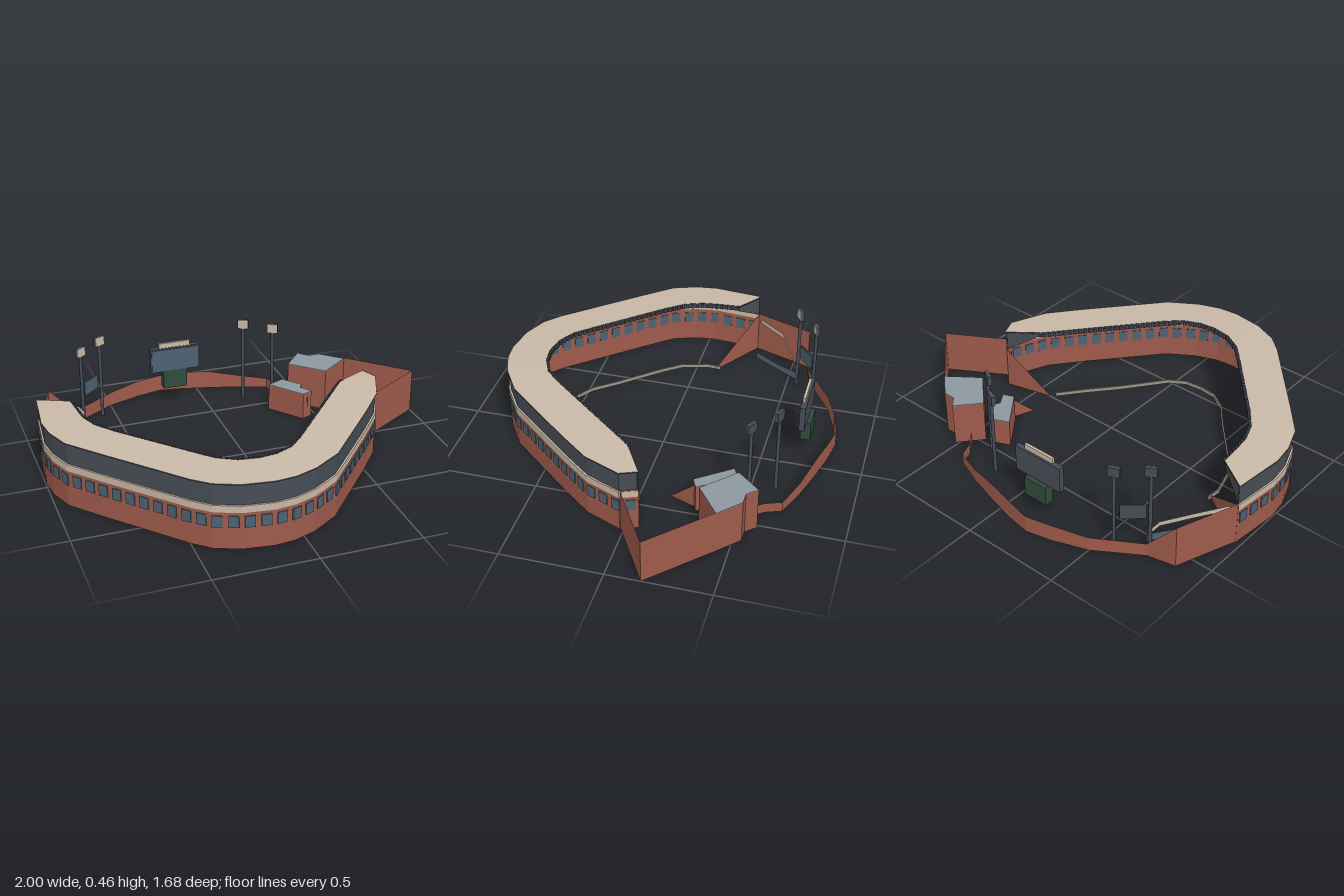
import * as THREE from 'three';
import { mergeGeometries } from 'three/addons/utils/BufferGeometryUtils.js';

const mat = (name, color) => {
  const m = new THREE.MeshStandardMaterial({ color, side: THREE.DoubleSide });
  m.name = name;
  return m;
};

export function createModel() {
  const model = new THREE.Group();
  model.name = 'ballpark';
  const brick = mat('brick', 0x9e5a4b), cream = mat('cream', 0xc8b8a6);
  const slate = mat('slate', 0x474c55), glass = mat('glass blue', 0x4d6273);
  const metal = mat('metal roof', 0x8c979f), green = mat('green', 0x2f4a3c);
  const shade = mat('underside', 0x2a2b2f), railing = mat('fence grey', 0x9b9589);

  const add = (name, geo, material, parent = model) => {
    const m = new THREE.Mesh(geo, material);
    m.name = name;
    parent.add(m);
    return m;
  };
  // faceted surface between two lines of [x, y, z] points
  const loft = (a, b) => {
    const pos = [];
    for (let i = 0; i < a.length - 1; i++)
      pos.push(...a[i], ...a[i + 1], ...b[i + 1], ...a[i], ...b[i + 1], ...b[i]);
    const g = new THREE.BufferGeometry();
    g.setAttribute('position', new THREE.Float32BufferAttribute(pos, 3));
    g.computeVertexNormals();
    return g;
  };
  const at = (line, y) => line.map(([x, z, h]) => [x, y ?? h, z]);
  // upright wall; with no top given, each point carries its own height
  const wall = (line, y0, y1) => loft(at(line, y0), at(line, y1));
  const box = (name, w, h, d, x, y, z, material, parent) => {
    const m = add(name, new THREE.BoxGeometry(w, h, d), material, parent);
    m.position.set(x, y, z);
    return m;
  };
  // visits evenly spaced places along a line
  const walk = (line, step, visit) => {
    const curve = new THREE.CurvePath();
    for (let i = 0; i < line.length - 1; i++)
      curve.add(new THREE.LineCurve(new THREE.Vector2(...line[i]), new THREE.Vector2(...line[i + 1])));
    const n = Math.round(curve.getLength() / step);
    for (let i = 0; i < n; i++) {
      const p = curve.getPointAt((i + 0.5) / n), t = curve.getTangentAt((i + 0.5) / n);
      visit(p.x, p.y, Math.atan2(-t.y, t.x));
    }
  };

  // grandstand outline: outer x, z and roof inner edge x, z
  const plan = [
    [-0.975, -0.285, -0.825, -0.195], [-1, -0.03, -0.815, -0.08], [-0.985, 0.08, -0.805, 0],
    [-0.94, 0.2, -0.77, 0.09], [-0.82, 0.34, -0.7, 0.18], [-0.5, 0.7, -0.42, 0.49],
    [-0.42, 0.77, -0.34, 0.575], [-0.3, 0.82, -0.25, 0.625], [-0.15, 0.84, -0.15, 0.64],
    [-0.05, 0.83, -0.07, 0.63], [0.06, 0.79, 0.02, 0.59], [0.2, 0.7, 0.09, 0.52],
    [0.5, 0.35, 0.35, 0.21], [0.62, 0.2, 0.45, 0.09], [0.695, 0.02, 0.5, 0.03],
    [0.66, -0.065, 0.52, 0.02],
  ];
  const ring = (t) => plan.map(([x, z, u, v]) => [x + (u - x) * t, z + (v - z) * t]);

  // outer walls, cream belt and dark upper level
  add('outerWall', wall(ring(0.015), 0, 0.19), brick);
  add('belt', wall(ring(0.005), 0.187, 0.222), cream);
  add('beltLedge', loft(at(ring(0.005), 0.222), at(ring(0.06), 0.222)), cream);
  add('upperLevel', wall(ring(0.05), 0.22, 0.328), slate);

  // roof, its dark underside and toothed inner edge
  add('roof', loft(at(ring(0), 0.331), at(ring(1), 0.342)), cream);
  add('roofUnderside', loft(at(ring(0), 0.326), at(ring(1), 0.335)), shade);
  add('roofOuterEdge', wall(ring(0), 0.326, 0.332), slate);
  add('roofInnerEdge', wall(ring(1), 0.318, 0.345), slate);
  const teeth = [];
  walk(ring(1.03), 0.026, (x, z, a) =>
    teeth.push(new THREE.BoxGeometry(0.013, 0.02, 0.014).rotateY(a).translate(x, 0.333, z)));
  add('roofBrackets', mergeGeometries(teeth), slate);

  // windows
  const panes = [];
  walk(ring(0.01).slice(0, 16), 0.073, (x, z, a) =>
    panes.push(new THREE.BoxGeometry(0.047, 0.058, 0.008).rotateY(a).translate(x, 0.141, z)));
  add('windows', mergeGeometries(panes), glass);

  // sloping end walls of the stand
  add('leftEndWall', wall([[-0.97, -0.28, 0.22], [-0.69, -0.1, 0.005]], 0), brick);
  add('rightEndWall', wall([[0.66, -0.06, 0.22], [0.42, 0, 0.005]], 0), brick);
  add('leftEndScreen', loft([[-0.97, 0.22, -0.28], [-0.83, 0.31, -0.195]],
    [[-0.97, 0.33, -0.28], [-0.83, 0.338, -0.195]]), slate);
  add('rightEndScreen', loft([[0.66, 0.22, -0.06], [0.52, 0.31, 0.02]],
    [[0.66, 0.33, -0.06], [0.52, 0.338, 0.02]]), slate);

  // low fence around the infield
  const fence = [
    [-0.705, -0.13], [-0.71, -0.06], [-0.67, 0.08], [-0.6, 0.17], [-0.42, 0.37], [-0.33, 0.48],
    [-0.24, 0.54], [-0.15, 0.55], [-0.06, 0.54], [0.02, 0.49], [0.18, 0.28], [0.3, 0.14], [0.395, 0.02],
  ];
  const rails = fence.slice(1).map(([x, z], i) => {
    const [px, pz] = fence[i];
    return new THREE.BoxGeometry(Math.hypot(x - px, z - pz) + 0.003, 0.02, 0.007)
      .rotateY(Math.atan2(pz - z, x - px)).translate((x + px) / 2, 0.012, (z + pz) / 2);
  });
  add('infieldFence', mergeGeometries(rails), railing);

  // left corner and outfield wall
  add('leftCornerWall', wall([[-0.97, -0.28, 0.225], [-0.86, -0.58, 0.225], [-0.72, -0.61, 0.07]], 0), brick);
  add('outfieldWall', wall([
    [-0.72, -0.61, 0.07], [-0.5, -0.75, 0.075], [-0.33, -0.81, 0.09], [-0.2, -0.84, 0.09],
    [-0.08, -0.82, 0.1], [0.06, -0.785, 0.1], [0.23, -0.735, 0.07], [0.37, -0.68, 0.055],
    [0.4, -0.6, 0.055], [0.46, -0.53, 0.055],
  ], 0), brick);
  const leftBand = [[-0.94, -0.3, 0.21], [-0.84, -0.44, 0.2], [-0.72, -0.52, 0.14], [-0.68, -0.55, 0.08]];
  add('leftFieldBand', loft(leftBand.map(([x, z, h]) => [x, h - 0.025, z]), at(leftBand)), cream);
  add('leftFieldPanel', wall([[-0.84, -0.3, 0.06], [-0.75, -0.44, 0.06], [-0.68, -0.56, 0.07]], 0.025), glass);

  // right annex: open tall wall and two flat-topped blocks
  add('annexWall', wall([[0.66, -0.06], [0.69, 0.015], [1, -0.17], [0.725, -0.44]], 0, 0.23), brick);
  const block = (name, h, pts) => {
    const shape = new THREE.Shape(pts.map(([x, z]) => new THREE.Vector2(x, -z)));
    const slab = (depth, y) => new THREE.ExtrudeGeometry(shape, { depth, bevelEnabled: false })
      .rotateX(-Math.PI / 2).translate(0, y, 0);
    add(name, slab(h, 0), brick);
    add(name + 'Roof', slab(0.004, h), metal);
  };
  block('cornerBlock', 0.222, [[0.415, -0.475], [0.515, -0.59], [0.56, -0.54], [0.62, -0.54],
    [0.725, -0.44], [0.57, -0.325]]);
  block('steppedBlock', 0.14, [[0.29, -0.43], [0.38, -0.47], [0.455, -0.375], [0.435, -0.345],
    [0.475, -0.285], [0.42, -0.26]]);
  add('steppedBlockWedge', wall([[0.45, -0.28, 0.14], [0.4, -0.15, 0.005]], 0), brick);

  // main scoreboard
  const score = new THREE.Group();
  score.name = 'scoreboard';
  model.add(score);
  box('board', 0.27, 0.135, 0.028, -0.155, 0.257, -0.688, slate, score);
  box('boardFace', 0.255, 0.12, 0.006, -0.155, 0.257, -0.673, glass, score);
  box('boardTop', 0.17, 0.028, 0.014, -0.155, 0.338, -0.685, cream, score);
  box('boardBase', 0.13, 0.1, 0.05, -0.155, 0.14, -0.699, green, score);

  // small left field board
  const small = new THREE.Group();
  small.name = 'leftFieldBoard';
  small.position.set(-0.635, 0.21, -0.605);
  small.rotation.y = 0.72;
  model.add(small);
  box('smallBoard', 0.12, 0.08, 0.008, 0, 0, 0, slate, small);
  box('smallBoardFace', 0.114, 0.074, 0.004, 0, 0, 0.005, glass, small);

  // floodlights
  for (const [x, z, a] of [[-0.69, -0.55, 0.55], [-0.567, -0.655, 0.4], [0.21, -0.617, -0.4], [0.337, -0.51, -0.55]]) {
    const light = new THREE.Group();
    light.name = 'floodlight';
    light.position.set(x, 0, z);
    light.rotation.y = a;
    model.add(light);
    const pole = add('pole', new THREE.CylinderGeometry(0.009, 0.009, 0.41, 8), slate, light);
    pole.position.y = 0.205;
    box('lampHead', 0.056, 0.05, 0.016, 0, 0.43, 0, slate, light);
    box('lampFace', 0.054, 0.048, 0.004, 0, 0.43, 0.009, cream, light);
  }
  return model;
}
